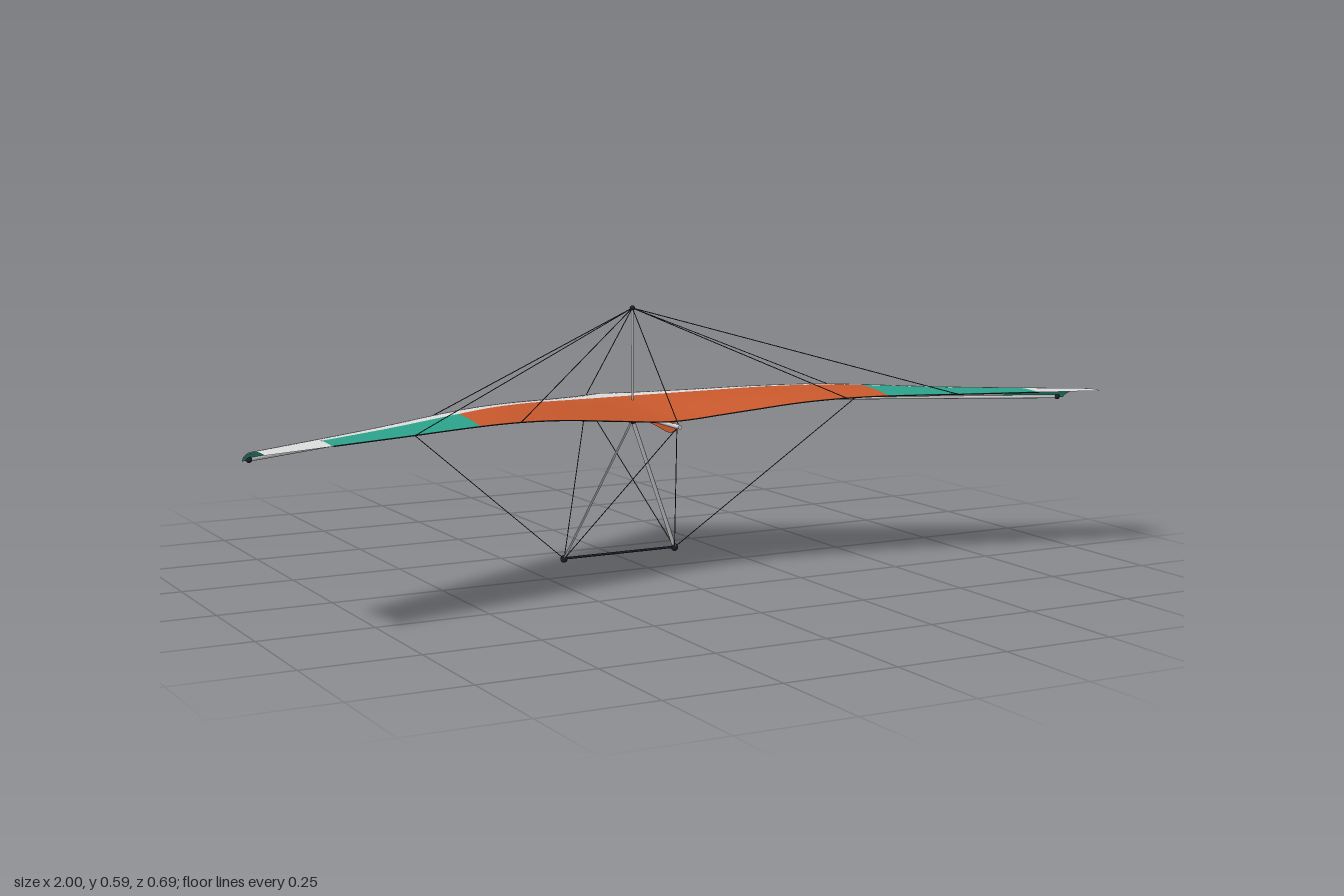
import * as THREE from 'three';

const mat = (name, color) => {
  const m = new THREE.MeshStandardMaterial({ color });
  m.name = name;
  return m;
};

// Smooth lookup through a few points
const curve = (pts) => (x) => {
  for (let i = 1; i < pts.length; i++) {
    if (x <= pts[i][0]) {
      const [x0, y0] = pts[i - 1], [x1, y1] = pts[i];
      const p = pts[Math.max(i - 2, 0)], q = pts[Math.min(i + 1, pts.length - 1)];
      const m0 = i > 1 ? (y1 - p[1]) / (x1 - p[0]) : 0;
      const m1 = (q[1] - y0) / (q[0] - x0);
      const t = (x - x0) / (x1 - x0), h = x1 - x0;
      return (2 * t ** 3 - 3 * t * t + 1) * y0 + (t ** 3 - 2 * t * t + t) * h * m0
        + (3 * t * t - 2 * t ** 3) * y1 + (t ** 3 - t * t) * h * m1;
    }
  }
  return pts[pts.length - 1][1];
};

// Planform and section of the wing, by distance a from the centre line
const leadZ = (a) => -0.326 + 0.526 * a;
const trailZ = (a) => 0.105 + 0.21 * Math.hypot(a, 0.08) + 0.027 * a * a;
const leadY = (a) => 0.345 + 0.008 * a;
const trailY = curve([[0, 0.351], [0.15, 0.364], [0.3, 0.38], [0.45, 0.387], [0.7, 0.385], [1, 0.383]]);
const camber = curve([[0, 0.03], [0.4, 0.034], [0.7, 0.022], [1, 0.013]]);

function upper(x, s) {
  const a = Math.abs(x);
  const y = leadY(a) + (trailY(a) - leadY(a)) * s + camber(a) / 0.3 * s ** 0.7 * (1 - s) ** 1.1;
  return [x, y, leadZ(a) + (trailZ(a) - leadZ(a)) * s];
}

// Lower skin: bulges at the nose, hugs the upper skin at the tip, ends at REAR
const REAR = 0.62;
function lower(x, s) {
  const a = Math.abs(x), t = s / REAR;
  const top = upper(x, s);
  const end = upper(x, REAR)[1] - 0.002;
  const bulge = 0.034 * Math.exp(-a / 0.12) + 0.002;
  const y = leadY(a) + (end - leadY(a)) * t - bulge * Math.sin(Math.PI * t ** 0.7);
  const hug = THREE.MathUtils.smoothstep(a, 0.5, 0.98);
  return [x, y + (top[1] - 0.002 - y) * hug, top[2]];
}

// Chord fraction where the coloured panels begin, on the upper and lower skins
function panelFront(x) {
  const a = Math.abs(x);
  const z = a <= 0.5 ? -0.15 + 0.5 * Math.hypot(a, 0.05) : 0.101 + 0.39 * (a - 0.5);
  return (z - leadZ(a)) / (trailZ(a) - leadZ(a));
}
const lowerFront = (x) => 0.28 + 0.24 * Math.abs(x);

// Skin patch between two spans and two chord fractions
function patch(skin, x0, x1, s0, s1, nx = 32, ns = 16) {
  const pos = [], nor = [], idx = [];
  const v = (p) => new THREE.Vector3(...p), e = 0.002;
  for (let i = 0; i <= nx; i++) {
    const x = x0 + (x1 - x0) * i / nx, a = s0(x), b = s1(x);
    for (let j = 0; j <= ns; j++) {
      const s = a + (b - a) * j / ns;
      pos.push(...skin(x, s));
      const sa = Math.max(s - e, 0), sb = Math.min(s + e, 1);
      const ds = v(skin(x, sb)).sub(v(skin(x, sa)));
      const dx = v(skin(Math.min(x + e, 1), s)).sub(v(skin(Math.max(x - e, -1), s)));
      nor.push(...ds.cross(dx).normalize().toArray());
      if (i < nx && j < ns) {
        const k = i * (ns + 1) + j, l = k + ns + 1;
        idx.push(k, k + 1, l, l, k + 1, l + 1);
      }
    }
  }
  const g = new THREE.BufferGeometry();
  g.setAttribute('position', new THREE.Float32BufferAttribute(pos, 3));
  g.setAttribute('normal', new THREE.Float32BufferAttribute(nor, 3));
  g.setIndex(idx);
  return g;
}

export function createModel() {
  const white = mat('sailWhite', 0xdcdcdc);
  const orange = mat('sailOrange', 0xc8582c);
  const teal = mat('sailTeal', 0x2ca28b);
  const metal = mat('aluminium', 0xd0d0d0);
  const dark = mat('darkFittings', 0x221e2a);
  const wireMat = mat('wire', 0x303234);
  for (const m of [white, orange, teal]) m.side = THREE.DoubleSide;

  const model = new THREE.Group();
  model.name = 'hangGlider';
  const add = (name, geo, material, p = [0, 0, 0]) => {
    const m = new THREE.Mesh(geo, material);
    m.name = name;
    m.position.set(...p);
    model.add(m);
    return m;
  };
  const tube = (name, a, b, r, material, sides = 12) => {
    const A = new THREE.Vector3(...a), B = new THREE.Vector3(...b);
    const d = B.clone().sub(A);
    const m = add(name, new THREE.CylinderGeometry(r, r, d.length(), sides), material);
    m.position.copy(A).add(B).multiplyScalar(0.5);
    m.quaternion.setFromUnitVectors(new THREE.Vector3(0, 1, 0), d.normalize());
    return m;
  };
  const ball = (name, p, r, material) => add(name, new THREE.SphereGeometry(r, 14, 10), material, p);
  const wire = (name, a, b) => tube(name, a, b, 0.001, wireMat, 6);

  // Sail
  const zero = () => 0, one = () => 1, rear = () => REAR;
  add('centrePanel', patch(upper, -0.5, 0.5, panelFront, one, 64), orange);
  add('frontSail', patch(upper, -0.85, 0.85, zero, panelFront, 96), white);
  add('lowerFrontSail', patch(lower, -0.5, 0.5, zero, lowerFront, 64), white);
  add('lowerCentrePanel', patch(lower, -0.5, 0.5, lowerFront, rear, 64), orange);
  for (const [side, label] of [[1, 'left'], [-1, 'right']]) {
    const span = (a, b) => (side > 0 ? [a, b] : [-b, -a]);
    add(label + 'OuterPanel', patch(upper, ...span(0.5, 0.85), panelFront, one), teal);
    add(label + 'TipSail', patch(upper, ...span(0.85, 1), zero, one), white);
    add(label + 'LowerOuterSail', patch(lower, ...span(0.5, 0.87), zero, rear), white);
    add(label + 'LowerTipPanel', patch(lower, ...span(0.87, 1), zero, rear), teal);
  }

  // Thin cord in the trailing hem
  const hem = Array.from({ length: 35 }, (_, i) => new THREE.Vector3(...upper(-0.85 + 0.05 * i, 1)));
  add('trailingHem', new THREE.TubeGeometry(new THREE.CatmullRomCurve3(hem), 100, 0.0012, 6), wireMat);

  // Keel pocket: a thin fin hanging under the keel
  const fin = new THREE.Shape();
  fin.moveTo(-0.03, 0.349);
  fin.lineTo(-0.03, 0.339);
  fin.quadraticCurveTo(0.04, 0.332, 0.08, 0.326);
  fin.quadraticCurveTo(0.115, 0.319, 0.137, 0.338);
  fin.lineTo(0.12, 0.349);
  const finGeo = new THREE.ExtrudeGeometry(fin, { depth: 0.004, bevelEnabled: false, curveSegments: 10 });
  finGeo.translate(0, 0, -0.002).rotateY(-Math.PI / 2);
  add('keelPocket', finGeo, orange);

  // Keel, nose and king post
  const top = [0, 0.583, -0.075], apex = [0, 0.33, -0.075], nose = [0, 0.345, -0.325];
  tube('keel', [0, 0.342, 0.15], [0, 0.345, -0.32], 0.005, metal);
  ball('noseCap', [0, 0.347, -0.332], 0.009, dark).scale.set(1, 0.9, 1.25);
  tube('kingPost', [0, 0.342, -0.075], top, 0.004, metal).scale.x = 0.55;
  ball('kingPostCap', top, 0.006, dark);
  ball('apexFitting', [0, 0.327, -0.075], 0.007, dark);
  add('hangStrap', new THREE.BoxGeometry(0.013, 0.022, 0.007), orange, [0, 0.334, -0.073]);
  wire('upperNoseWire', top, nose);
  wire('upperRearWire', top, [0, 0.345, 0.143]);

  // Control frame
  tube('baseBar', [-0.143, 0.012, -0.138], [0.143, 0.012, -0.138], 0.0028, dark);
  for (const [side, label] of [[1, 'left'], [-1, 'right']]) {
    const corner = [side * 0.143, 0.011, -0.138];
    // Streamlined uprights, narrow across and deep fore and aft
    tube(label + 'DownTube', apex, corner, 0.005, metal).scale.x = 0.45;
    ball(label + 'CornerFitting', corner, 0.009, dark).scale.z = 0.6;

    // Leading edge spar and cross bar
    const tip = [side * 0.985, 0.353, 0.197];
    tube(label + 'LeadingEdge', [0, 0.346, -0.322], tip, 0.004, metal);
    ball(label + 'TipCap', tip, 0.0065, dark);
    tube(label + 'CrossBar', [0, 0.346, -0.075], [side * 0.565, 0.353, -0.022], 0.004, metal);

    // Rigging
    wire(label + 'LowerSideWire', corner, [side * 0.565, 0.353, -0.02]);
    wire(label + 'LowerRearWire', corner, [0, 0.338, 0.135]);
    wire(label + 'LowerNoseWire', corner, [0, 0.338, -0.312]);
    wire(label + 'UpperSideWire', top, upper(side * 0.53, 0.1));
    [0.4, 0.66].forEach((x, i) =>
      wire(label + 'LuffLine' + (i + 1), top, upper(side * x, 1)));
  }
  return model;
}
